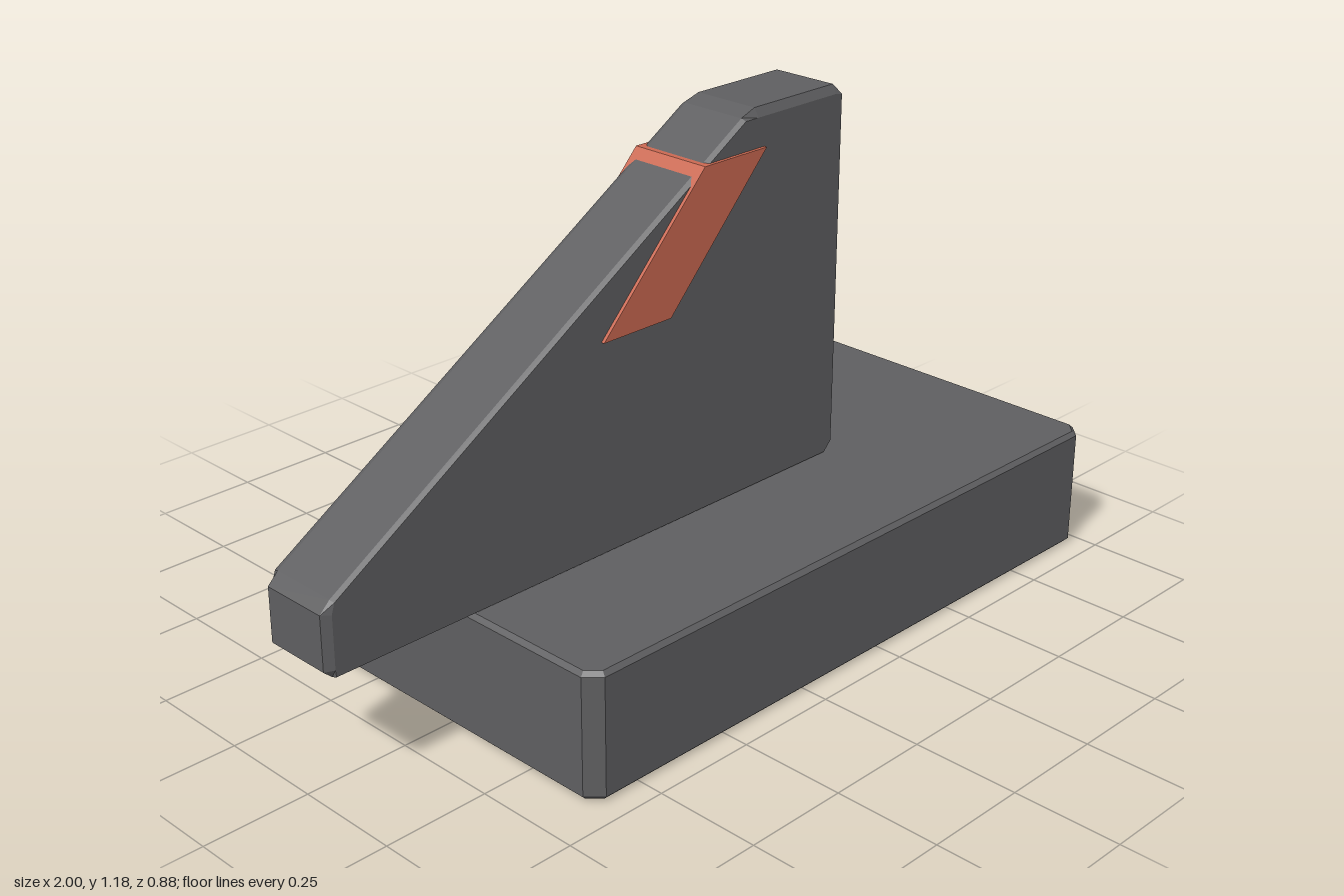
import * as THREE from 'three';

const charcoal = new THREE.MeshStandardMaterial({ color: 0x5e5e60 });
charcoal.name = 'charcoal';
const terracotta = new THREE.MeshStandardMaterial({ color: 0xc96851 });
terracotta.name = 'terracotta';

// Extrudes an outline to a total depth centred on z, chamfered inside the outline
function slab(points, depth, bevel, thickness = bevel) {
  const shape = new THREE.Shape(points.map(([x, y]) => new THREE.Vector2(x, y)));
  const geometry = new THREE.ExtrudeGeometry(shape, {
    depth: depth - 2 * thickness,
    bevelEnabled: bevel > 0,
    bevelSize: bevel,
    bevelOffset: -bevel,
    bevelThickness: thickness,
    bevelSegments: 1,
  });
  return geometry.translate(0, 0, thickness - depth / 2);
}

function part(name, geometry, material) {
  const mesh = new THREE.Mesh(geometry, material);
  mesh.name = name;
  return mesh;
}

export function createModel() {
  const model = new THREE.Group();
  model.name = 'finOnPlinth';

  // Plinth: a block with cut corners
  const w = 0.815, d = 0.442, c = 0.033;
  const plinth = slab([
    [-w + c, -d], [w - c, -d], [w, -d + c], [w, d - c],
    [w - c, d], [-w + c, d], [-w, d - c], [-w, -d + c],
  ], 0.295, 0.01);
  plinth.rotateX(-Math.PI / 2).translate(0.185, 0.1475, 0);
  model.add(part('plinth', plinth, charcoal));

  // Fin: an upright wedge with cut corners
  const fin = slab([
    [-0.98, 0.297], [0.45, 0.297], [0.475, 0.322], [0.475, 1.163],
    [0.453, 1.185], [0.2, 1.185], [0.16, 1.17], [-0.975, 0.465],
    [-1, 0.44], [-1, 0.315],
  ], 0.188, 0.004, 0.012);
  // Wider chamfers along the top and the low tip
  const p = fin.attributes.position;
  for (let i = 0; i < p.count; i++) {
    if (Math.abs(p.getZ(i)) < 0.09) continue;
    p.setX(i, Math.max(p.getX(i), -0.98));
    p.setY(i, Math.min(p.getY(i), 1.165));
  }
  fin.computeVertexNormals();
  model.add(part('fin', fin, charcoal));

  // Slanted stripe passing through the fin, just proud of both sides
  const stripe = slab([[-0.265, 0.788], [-0.07, 0.788], [0.22, 1.098], [0.03, 1.098]], 0.204, 0, 0);
  model.add(part('stripe', stripe, terracotta));

  return model;
}
